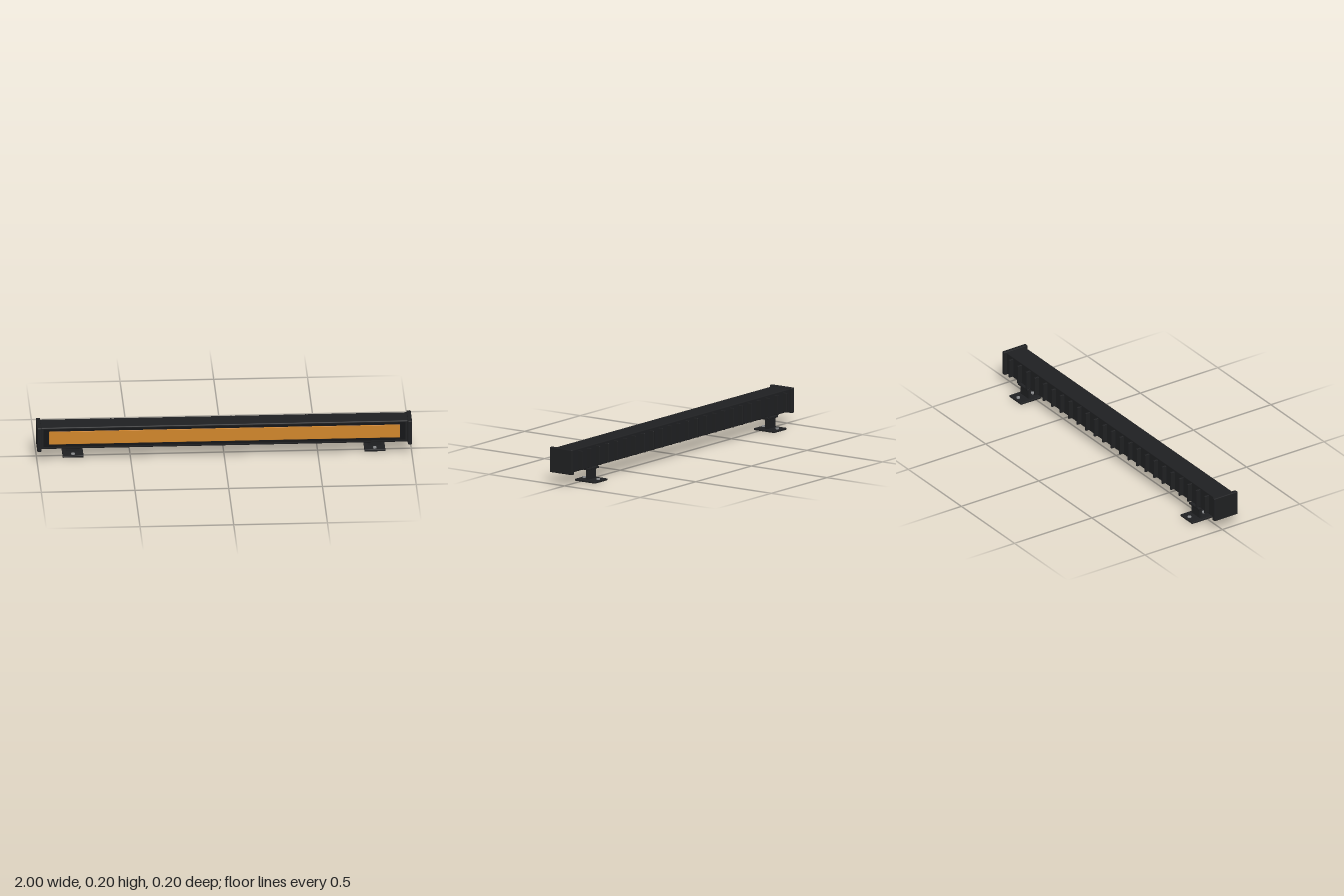
import * as THREE from 'three';
import { RoundedBoxGeometry } from 'three/addons/geometries/RoundedBoxGeometry.js';

const paint = (color) => new THREE.MeshStandardMaterial({ color });

export function createModel() {
  const model = new THREE.Group();
  model.name = 'lightBar';
  const black = paint(0x1f2022);
  const dark = paint(0x141517);
  const amber = paint(0xd0852a);
  const steel = paint(0x8a8c8e);

  // Box given by its [min, max] range on each axis, with optional edge rounding
  function block(parent, name, [x0, x1], [y0, y1], [z0, z1], material, radius = 0) {
    const size = [x1 - x0, y1 - y0, z1 - z0];
    const geometry = radius
      ? new RoundedBoxGeometry(...size, 2, radius)
      : new THREE.BoxGeometry(...size);
    const mesh = new THREE.Mesh(geometry, material);
    mesh.name = name;
    mesh.position.set((x0 + x1) / 2, (y0 + y1) / 2, (z0 + z1) / 2);
    parent.add(mesh);
    return mesh;
  }

  // Long housing with the dark bezel and the amber lens on its front
  block(model, 'housing', [-0.98, 0.98], [0.072, 0.195], [-0.036, 0.082], black, 0.005);
  block(model, 'bezel', [-0.965, 0.965], [0.086, 0.186], [0.07, 0.084], dark);
  block(model, 'lens', [-0.936, 0.936], [0.1, 0.174], [0.07, 0.087], amber, 0.002);

  // Cooling fins along the back
  const fins = new THREE.Group();
  fins.name = 'coolingFins';
  model.add(fins);
  for (let i = 0; i < 24; i++) {
    const x = -0.92 + 0.08 * i;
    block(fins, 'fin', [x - 0.005, x + 0.005], [0.08, 0.184], [-0.061, -0.03], black, 0.002);
  }

  for (const side of [-1, 1]) {
    // End cap
    const cx = side * 0.9885;
    block(model, side > 0 ? 'leftEndCap' : 'rightEndCap',
      [cx - 0.0115, cx + 0.0115], [0.063, 0.2], [-0.05, 0.1], black, 0.005);

    // Mounting bracket: foot plate, upright web, top flange and two bolts
    const bracket = new THREE.Group();
    bracket.name = side > 0 ? 'leftBracket' : 'rightBracket';
    bracket.position.x = side * 0.805;
    model.add(bracket);
    block(bracket, 'footPlate', [-0.056, 0.056], [0, 0.011], [-0.1, 0.035], black, 0.003);
    block(bracket, 'web', [-0.037, 0.037], [0.008, 0.07], [-0.039, -0.025], black);
    block(bracket, 'flange', [-0.045, 0.045], [0.064, 0.075], [-0.052, -0.012], black, 0.002);
    for (const z of [-0.079, 0.014]) {
      const bolt = new THREE.Mesh(new THREE.CylinderGeometry(0.01, 0.01, 0.009, 16), steel);
      bolt.name = 'bolt';
      bolt.position.set(0, 0.0135, z);
      bracket.add(bolt);
    }
  }
  return model;
}
